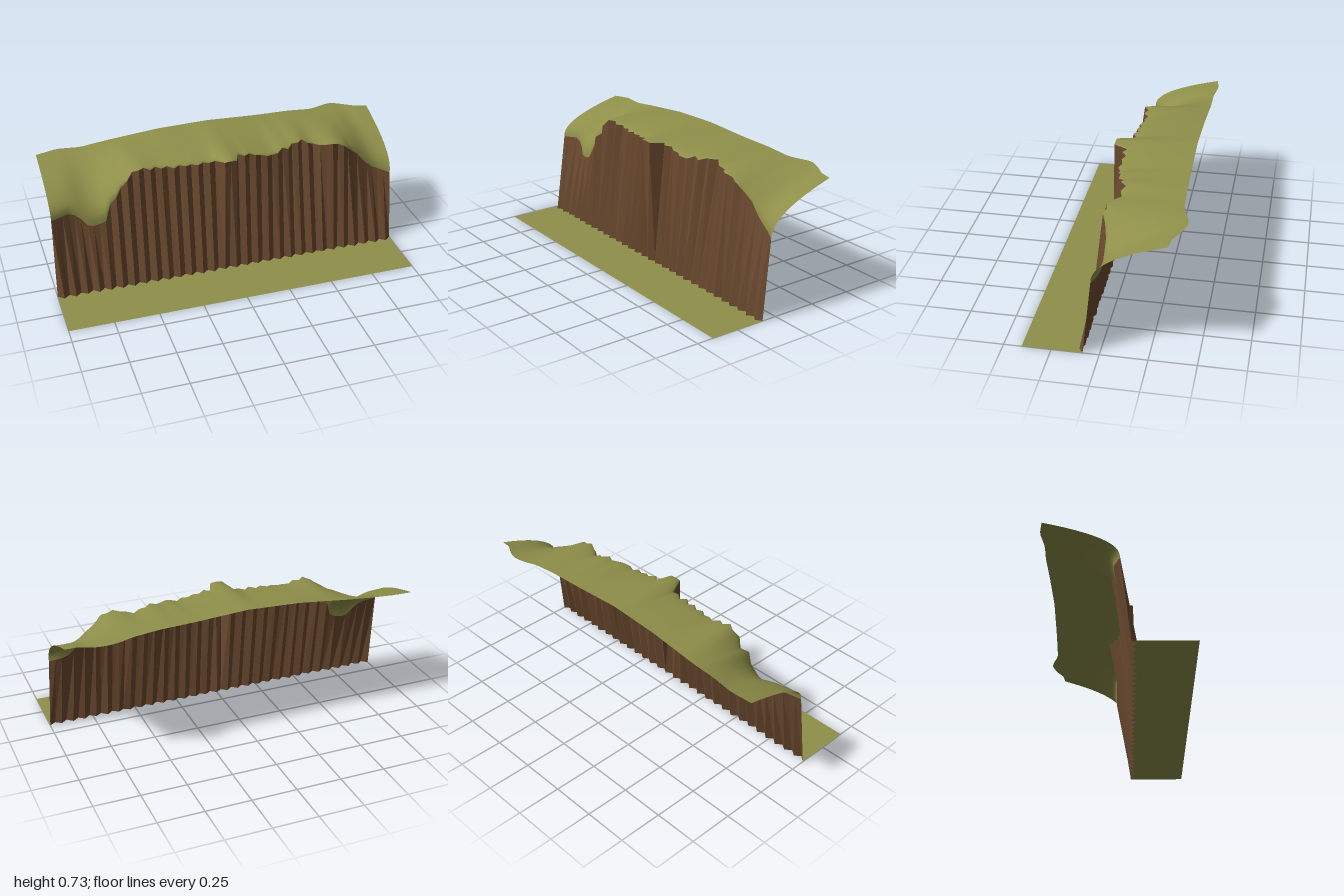
import * as THREE from 'three';

// Cliff rim: x, height, depth
const RIM = [
  [-1, .46, .03], [-.9, .47, .0], [-.85, .45, .0], [-.8, .39, .02], [-.75, .38, .025], [-.7, .41, .025],
  [-.65, .53, .03], [-.6, .58, .0], [-.54, .67, .01], [-.5, .68, .01], [-.4, .665, -.01], [-.2, .66, .01],
  [-.07, .67, .025], [-.034, .695, .1], [0, .7, .1], [.034, .695, .1], [.07, .69, .03], [.2, .67, .03],
  [.28, .65, .03], [.33, .68, .02], [.36, .67, .01], [.43, .69, -.015], [.48, .685, -.03], [.52, .65, -.035],
  [.6, .66, .02], [.63, .67, .02], [.7, .645, .03], [.75, .6, .01], [.8, .56, .0], [.85, .5, .0],
  [.9, .46, .0], [.95, .44, .01], [1, .425, .04],
];
// Back edge of the plateau: x, height, depth
const BACK = [
  [-1, .66, -.36], [-.88, .67, -.377], [-.75, .67, -.36], [-.6, .685, -.365], [-.3, .715, -.36], [0, .725, -.355],
  [.3, .71, -.36], [.5, .705, -.365], [.65, .692, -.37], [.72, .69, -.395], [.79, .692, -.412],
  [.86, .683, -.39], [.93, .68, -.35], [1, .675, -.34],
];
const COLS = 60;

// Linear lookup in a table of [x, y, z]
function sample(table, x) {
  let i = 1;
  while (i < table.length - 1 && table[i][0] < x) i++;
  const [a, b] = [table[i - 1], table[i]];
  const t = THREE.MathUtils.clamp((x - a[0]) / (b[0] - a[0]), 0, 1);
  return [THREE.MathUtils.lerp(a[1], b[1], t), THREE.MathUtils.lerp(a[2], b[2], t)];
}

// Repeatable noise in -1..1
function noise(i) {
  const s = Math.sin(i * 127.1 + 3.7) * 43758.5453;
  return (s - Math.floor(s)) * 2 - 1;
}

const columnX = (i) => -1 + (2 * i) / COLS;

// Zigzag foot of the cliff
function foot(i) {
  return [columnX(i), 0, .098 + (i % 2 ? .013 : -.013) + noise(i) * .003];
}

// Jagged upper rim, calmer at the worn ends and on the central ledge
function rim(i) {
  const x = columnX(i);
  const [y, z] = sample(RIM, x);
  const rough = Math.abs(x) < .04 || Math.abs(x) > .72 ? 0 : 1;
  return [x * .99, y + noise(i + 90) * .004 * rough, z + rough * ((i % 2 ? .01 : -.01) + noise(i + 40) * .007)];
}

// Grass slope: steep at the rim, flattening towards the back
function turf(i, s) {
  const t = s * s;
  const [x, y, z] = rim(i);
  const [by, bz] = sample(BACK, columnX(i));
  return [x, y + (by - y) * Math.pow(t, .45), z + (bz - z) * t];
}

// Sheet of columns along x and rows from front/bottom to back/top
function sheet(name, rows, point, material) {
  const pos = [], index = [], w = COLS + 1;
  for (let j = 0; j <= rows; j++)
    for (let i = 0; i <= COLS; i++) pos.push(...point(i, j / rows));
  for (let j = 0; j < rows; j++)
    for (let i = 0; i < COLS; i++) {
      const a = j * w + i;
      index.push(a, a + 1, a + w, a + 1, a + w + 1, a + w);
    }
  const geo = new THREE.BufferGeometry();
  geo.setAttribute('position', new THREE.Float32BufferAttribute(pos, 3));
  geo.setIndex(index);
  geo.computeVertexNormals();
  const mesh = new THREE.Mesh(geo, material);
  mesh.name = name;
  return mesh;
}

export function createModel() {
  const grass = new THREE.MeshStandardMaterial({ color: 0x8f8f4a, side: THREE.DoubleSide });
  const rock = new THREE.MeshStandardMaterial({ color: 0x6b4a2f, side: THREE.DoubleSide, flatShading: true });
  const group = new THREE.Group();
  group.name = 'cliff';

  group.add(
    // Flat ground in front, meeting the zigzag foot
    sheet('lowerGround', 1, (i, t) => (t ? foot(i) : [columnX(i), 0, .405]), grass),
    // Fluted rock wall
    sheet('rockFace', 1, (i, t) => (t ? rim(i) : foot(i)), rock),
    // Grassy plateau
    sheet('grassTop', 12, turf, grass),
  );
  return group;
}
